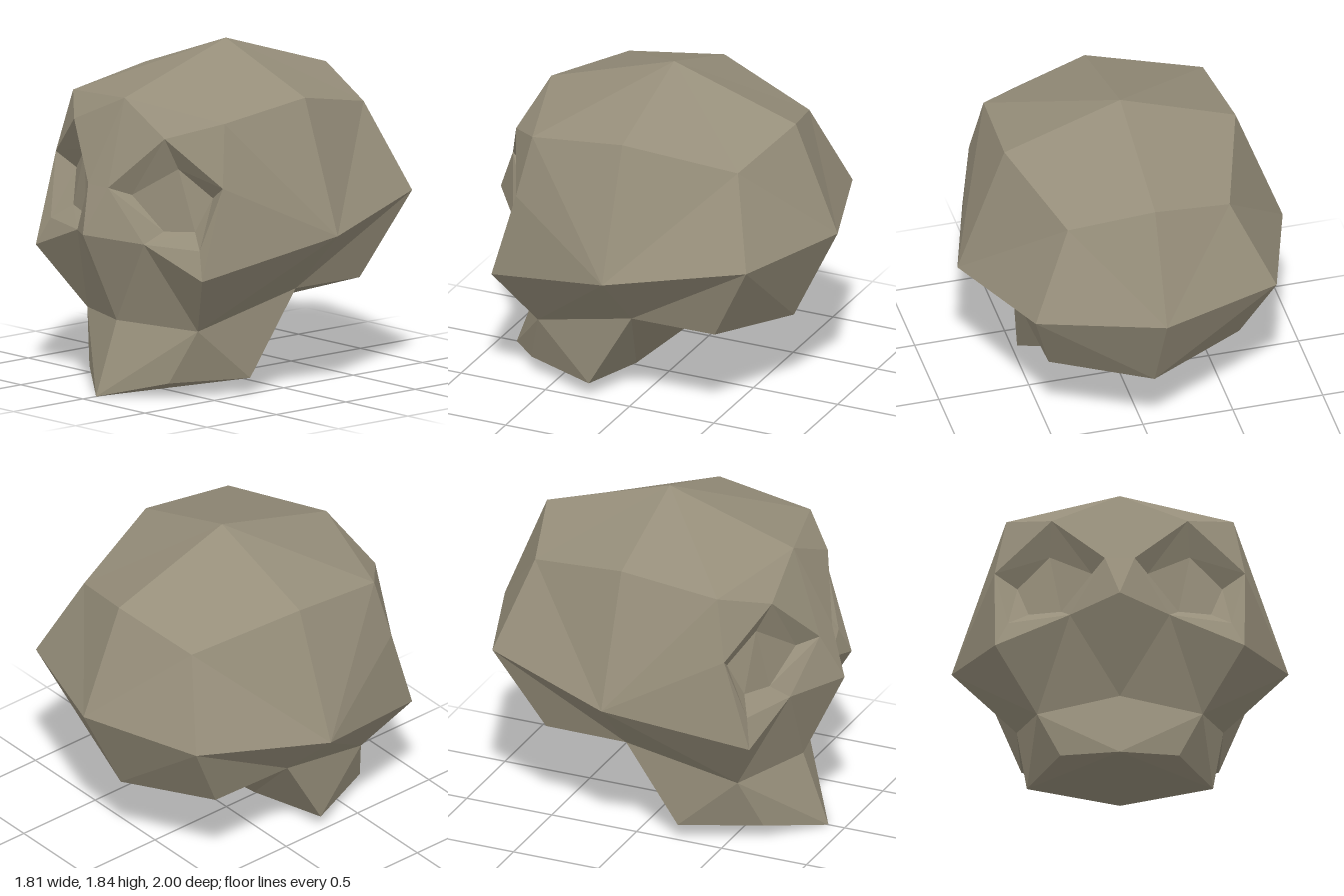
import * as THREE from 'three';

// Landmarks of the model's left half; x = 0 lies on the mirror line
const P = {
  // cranium
  crown: [0, 1.84, -0.03], forehead: [0, 1.61, 0.7], temple: [0.61, 1.537, 0.525],
  sideTop: [0.643, 1.61, -0.025], rearTop: [0.45, 1.48, -0.62], rearTopMid: [0, 1.61, -0.752],
  side: [0.905, 0.89, -0.027], rearSide: [0.67, 1.005, -0.773], rearMid: [0, 1.01, -1],
  low: [0.53, 0.54, -0.52], lowMid: [0, 0.48, -0.74], neck: [0, 0.36, -0.19],
  // face and rim of the eye socket
  browMid: [0, 1.155, 0.89], browIn: [0.08, 1.155, 0.89], browTop: [0.365, 1.445, 0.737],
  browOut: [0.673, 1.2, 0.593], rimOut: [0.6, 0.86, 0.695], rimIn: [0.268, 0.86, 0.8],
  nose: [0, 0.9, 1], cheek: [0.67, 0.708, 0.74],
  // floor of the eye socket
  eyeIn: [0.15, 1.112, 0.78], eyeTop: [0.376, 1.27, 0.648], eyeOut: [0.55, 1.125, 0.555],
  eyeLowOut: [0.49, 0.94, 0.63], eyeLowIn: [0.315, 0.925, 0.7],
  // jaw
  lip: [0, 0.4, 0.757], jawFront: [0.445, 0.378, 0.57], jawRear: [0.555, 0.55, -0.037],
  chin: [0, 0, 0.905], chinSide: [0.32, 0.088, 0.667], jawCorner: [0.5, 0.088, 0.242], jawBack: [0, 0.01, 0.195],
};

// Each panel is a fan from its first corner
const cranium = [
  'crown forehead temple', 'crown temple sideTop', 'crown sideTop rearTop', 'crown rearTop rearTopMid',
  'side browOut temple sideTop rearTop rearSide', 'rearTop rearSide rearMid rearTopMid',
  'side rearSide jawRear', 'rearSide low jawRear',
  'rearSide low lowMid rearMid', 'low jawRear neck lowMid',
];
const face = [
  'forehead temple browTop', 'temple browOut browTop', 'forehead browTop browIn browMid',
  'browMid browIn nose', 'nose browIn rimIn', 'browOut rimOut cheek', 'browOut cheek side',
  'rimOut rimIn cheek', 'nose rimIn lip', 'rimIn jawFront lip', 'rimIn cheek jawFront',
  'side cheek jawFront', 'side jawFront jawRear',
];
const jaw = [
  'jawFront lip chin chinSide', 'jawFront chinSide jawCorner jawRear', 'chin chinSide jawCorner jawBack',
  'jawRear jawCorner jawBack neck',
];
const rim = ['browIn', 'browTop', 'browOut', 'rimOut', 'rimIn'];
const floor = ['eyeIn', 'eyeTop', 'eyeOut', 'eyeLowOut', 'eyeLowIn'];
const socket = ['eyeTop eyeOut eyeLowOut eyeLowIn eyeIn'];
rim.forEach((r, i) => {
  const j = (i + 1) % rim.length;
  socket.push(`${r} ${rim[j]} ${floor[i]}`, `${rim[j]} ${floor[j]} ${floor[i]}`);
});

// Builds panels on the given sides, turning every triangle away from an inner point
function shell(name, panels, inner, material, sides = [1, -1]) {
  const pos = [];
  const centre = new THREE.Vector3(...inner);
  const tri = new THREE.Triangle();
  const normal = new THREE.Vector3();
  for (const s of sides) {
    for (const panel of panels) {
      const v = panel.split(' ').map((k) => new THREE.Vector3(P[k][0] * s, P[k][1], P[k][2]));
      for (let i = 1; i < v.length - 1; i++) {
        tri.set(v[0], v[i], v[i + 1]).getNormal(normal);
        const out = normal.dot(v[0].clone().sub(centre)) > 0;
        for (const p of out ? [v[0], v[i], v[i + 1]] : [v[0], v[i + 1], v[i]]) pos.push(p.x, p.y, p.z);
      }
    }
  }
  const geometry = new THREE.BufferGeometry();
  geometry.setAttribute('position', new THREE.Float32BufferAttribute(pos, 3));
  geometry.computeVertexNormals(); // unshared corners keep the facets flat
  const mesh = new THREE.Mesh(geometry, material);
  mesh.name = name;
  return mesh;
}

export function createModel() {
  const bone = new THREE.MeshStandardMaterial({ color: 0x968e7a });
  bone.name = 'bone';
  const skull = new THREE.Group();
  skull.name = 'skull';
  skull.add(
    shell('cranium', cranium, [0, 1, 0], bone),
    shell('face', face, [0, 1, 0], bone),
    shell('leftEyeSocket', socket, [0, 1, -2], bone, [1]),
    shell('rightEyeSocket', socket, [0, 1, -2], bone, [-1]),
    shell('jaw', jaw, [0, 0.3, 0.35], bone),
  );
  return skull;
}
